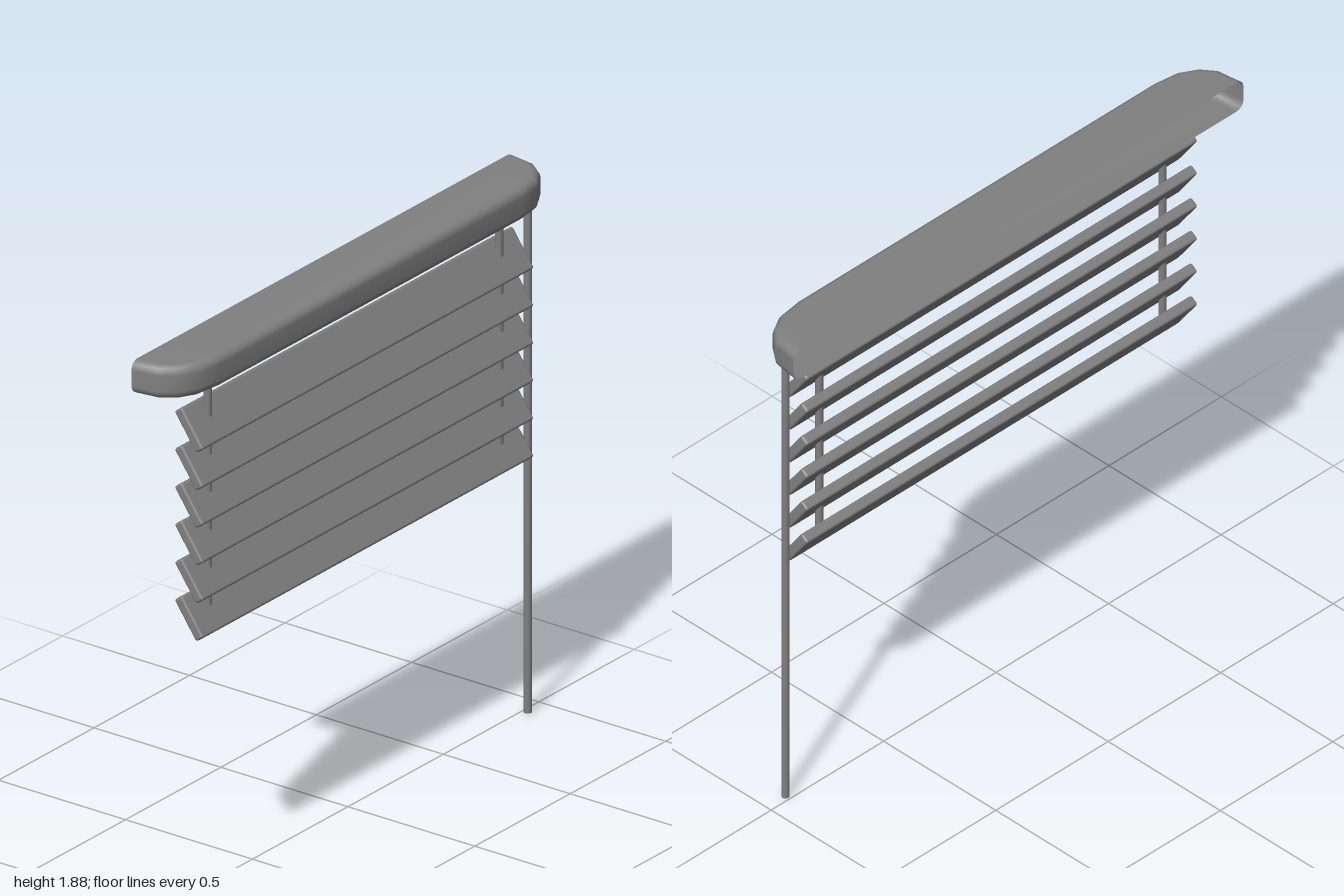
import * as THREE from 'three';
import { RoundedBoxGeometry } from 'three/addons/geometries/RoundedBoxGeometry.js';

const grey = new THREE.MeshStandardMaterial({ color: 0x808080, side: THREE.DoubleSide });
grey.name = 'grey';

const BACK = -0.1, BOTTOM = 1.76, TOP = 1.875, ROUND = 0.03;

// Hollow head rail, open at the back: rounded plan outline swept through a rounded profile
function headRailGeometry() {
  const half = [[BACK, 1], [-0.005, 0.986], [0.046, 0.948], [0.082, 0.885], [0.095, 0.79]];
  const plan = [...half.map(([x, z]) => [x, -z]), ...half.slice().reverse()];

  // Profile rows as [inset, height]; a null inset is the straight back edge
  const rows = [[null, BOTTOM]];
  const steps = 4;
  for (let k = 0; k <= steps; k++) {
    const a = (k / steps) * Math.PI / 2;
    rows.push([ROUND * (1 - Math.sin(a)), BOTTOM + ROUND * (1 - Math.cos(a))]);
  }
  for (let k = 0; k <= steps; k++) {
    const a = (k / steps) * Math.PI / 2;
    rows.push([ROUND * (1 - Math.cos(a)), TOP - ROUND * (1 - Math.sin(a))]);
  }
  rows.push([null, TOP]);

  const n = plan.length, positions = [], index = [];
  for (const [inset, y] of rows) {
    plan.forEach(([x, z], i) => {
      const [px, pz] = plan[Math.max(i - 1, 0)];
      const [qx, qz] = plan[Math.min(i + 1, n - 1)];
      const end = i === 0 || i === n - 1;
      const len = Math.hypot(qx - px, qz - pz);
      const nx = end ? 0 : (qz - pz) / len;
      const nz = end ? Math.sign(z) : -(qx - px) / len;
      const d = inset === null ? ROUND : inset;
      positions.push(inset === null ? BACK : x - nx * d, y, z - nz * d);
    });
  }
  for (let j = 0; j < rows.length - 1; j++) {
    for (let i = 0; i < n - 1; i++) {
      const a = j * n + i, b = a + n;
      index.push(a, b, a + 1, a + 1, b, b + 1);
    }
  }
  const geometry = new THREE.BufferGeometry();
  geometry.setAttribute('position', new THREE.Float32BufferAttribute(positions, 3));
  geometry.setIndex(index);
  geometry.computeVertexNormals();
  return geometry;
}

export function createModel() {
  const model = new THREE.Group();
  model.name = 'windowBlind';

  const add = (name, geometry, x, y, z) => {
    const mesh = new THREE.Mesh(geometry, grey);
    mesh.name = name;
    mesh.position.set(x, y, z);
    model.add(mesh);
    return mesh;
  };
  const rod = (name, z, y0, y1) =>
    add(name, new THREE.CylinderGeometry(0.0133, 0.0133, y1 - y0, 12), 0.019, (y0 + y1) / 2, z);

  add('headRail', headRailGeometry(), 0, 0, 0);

  // Tilted slats
  const slat = new RoundedBoxGeometry(0.149, 0.036, 1.738, 2, 0.008);
  for (let i = 0; i < 6; i++) {
    add('slat', slat, 0.02, 1.618 - i * 0.1303, -0.007).rotation.z = THREE.MathUtils.degToRad(-55);
  }

  // Lift cords through the slats, and the tilt wand beside them
  for (const z of [0.759, -0.767]) rod('cord', z, 0.965, BOTTOM + 0.003);
  rod('wand', -0.917, 0, BOTTOM + 0.003);

  return model;
}
